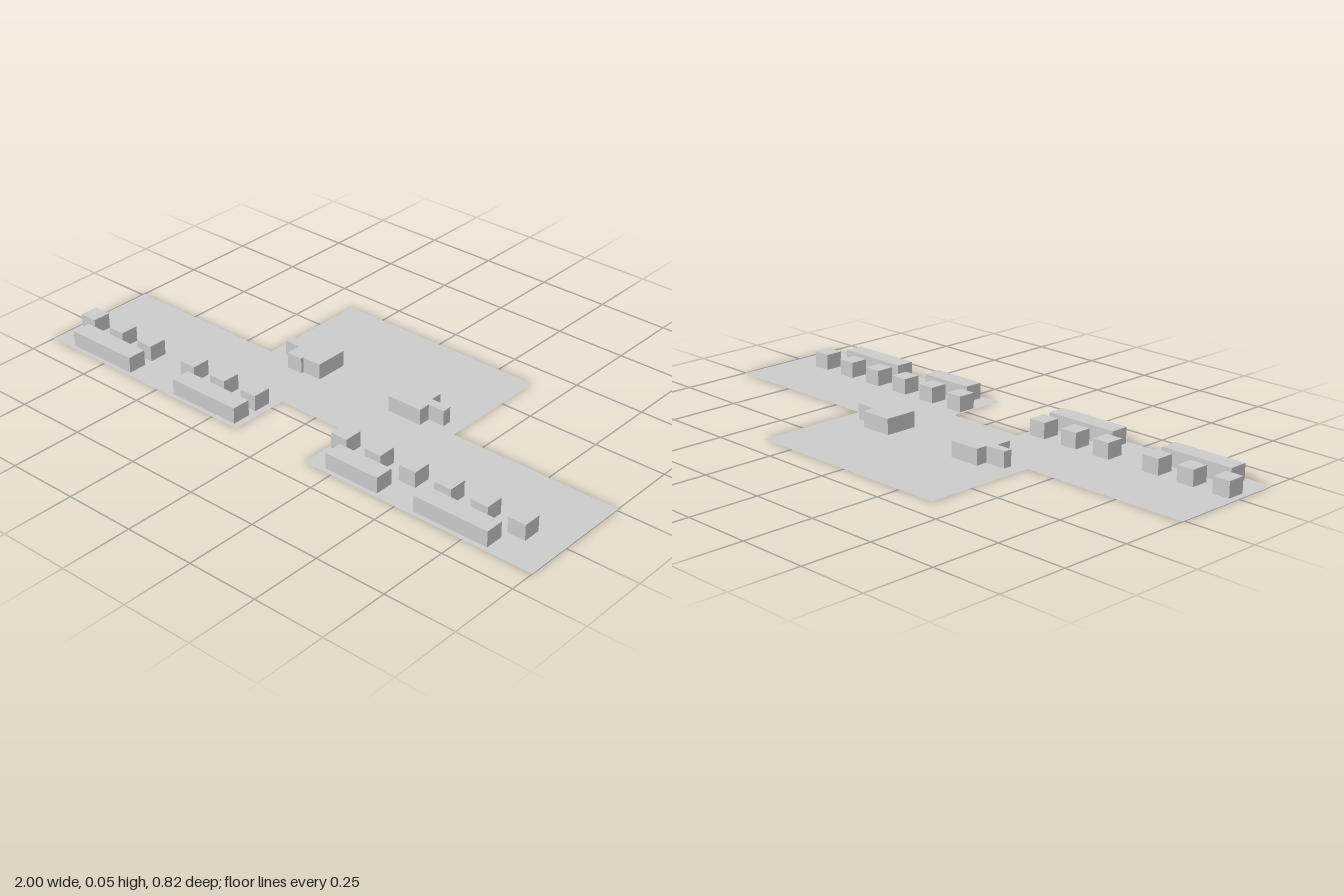
import * as THREE from 'three';

const HEIGHT = 0.055;

// Plan outline given as [x, z] corners
function planShape(points) {
  return new THREE.Shape(points.map(([x, z]) => new THREE.Vector2(x, -z)));
}

export function createModel() {
  const model = new THREE.Group();
  const blockMaterial = new THREE.MeshStandardMaterial({ color: 0xcccccc, flatShading: true });
  const groundMaterial = new THREE.MeshStandardMaterial({ color: 0xcccccc, side: THREE.DoubleSide });

  function add(name, geometry, material, parent = model) {
    const mesh = new THREE.Mesh(geometry, material);
    mesh.name = name;
    parent.add(mesh);
    return mesh;
  }

  // Box standing on the ground, given by its plan limits
  function addBlock(name, x0, x1, z0, z1, parent) {
    const geometry = new THREE.BoxGeometry(x1 - x0, HEIGHT, z1 - z0);
    add(name, geometry, blockMaterial, parent)
      .position.set((x0 + x1) / 2, HEIGHT / 2, (z0 + z1) / 2);
  }

  // Flat ground sheet: wide front strip with a notch, and a square yard behind
  const ground = new THREE.ShapeGeometry(planShape([
    [-1, 0.41], [-0.146, 0.41], [-0.146, 0.2], [0.142, 0.2], [0.142, 0.41], [1, 0.41],
    [1, -0.008], [0.387, -0.008], [0.387, -0.412], [-0.39, -0.412], [-0.39, -0.008], [-1, -0.008],
  ])).rotateX(-Math.PI / 2);
  add('ground', ground, groundMaterial);

  // Row of small houses
  const houses = new THREE.Group();
  houses.name = 'smallHouses';
  model.add(houses);
  [[-0.946, 3], [-0.473, 3], [0.182, 6]].forEach(([start, count]) => {
    for (let i = 0; i < count; i++) {
      const x = start + i * 0.1355;
      addBlock('smallHouse', x - 0.0315, x + 0.0315, 0.234, 0.298, houses);
    }
  });

  // Long terraces along the front edge
  const terraces = new THREE.Group();
  terraces.name = 'terraces';
  model.add(terraces);
  [[-0.911, -0.642], [-0.44, -0.169], [0.214, 0.418], [0.557, 0.829]].forEach(([x0, x1]) => {
    addBlock('terrace', x0, x1, 0.328, 0.394, terraces);
  });

  // Two larger buildings with stepped plans
  const plans = {
    rightBuilding: [
      [-0.262, -0.098], [-0.262, -0.056], [-0.337, -0.056], [-0.337, -0.024], [-0.278, -0.024],
      [-0.278, 0.03], [-0.219, 0.03], [-0.219, 0.019], [-0.149, 0.019], [-0.149, -0.098],
    ],
    leftBuilding: [
      [0.144, -0.098], [0.144, 0.019], [0.272, 0.019], [0.272, -0.024],
      [0.332, -0.024], [0.332, -0.056], [0.259, -0.056], [0.259, -0.098],
    ],
  };
  for (const [name, points] of Object.entries(plans)) {
    const geometry = new THREE.ExtrudeGeometry(planShape(points), { depth: HEIGHT, bevelEnabled: false });
    add(name, geometry.rotateX(-Math.PI / 2), blockMaterial);
  }

  return model;
}
